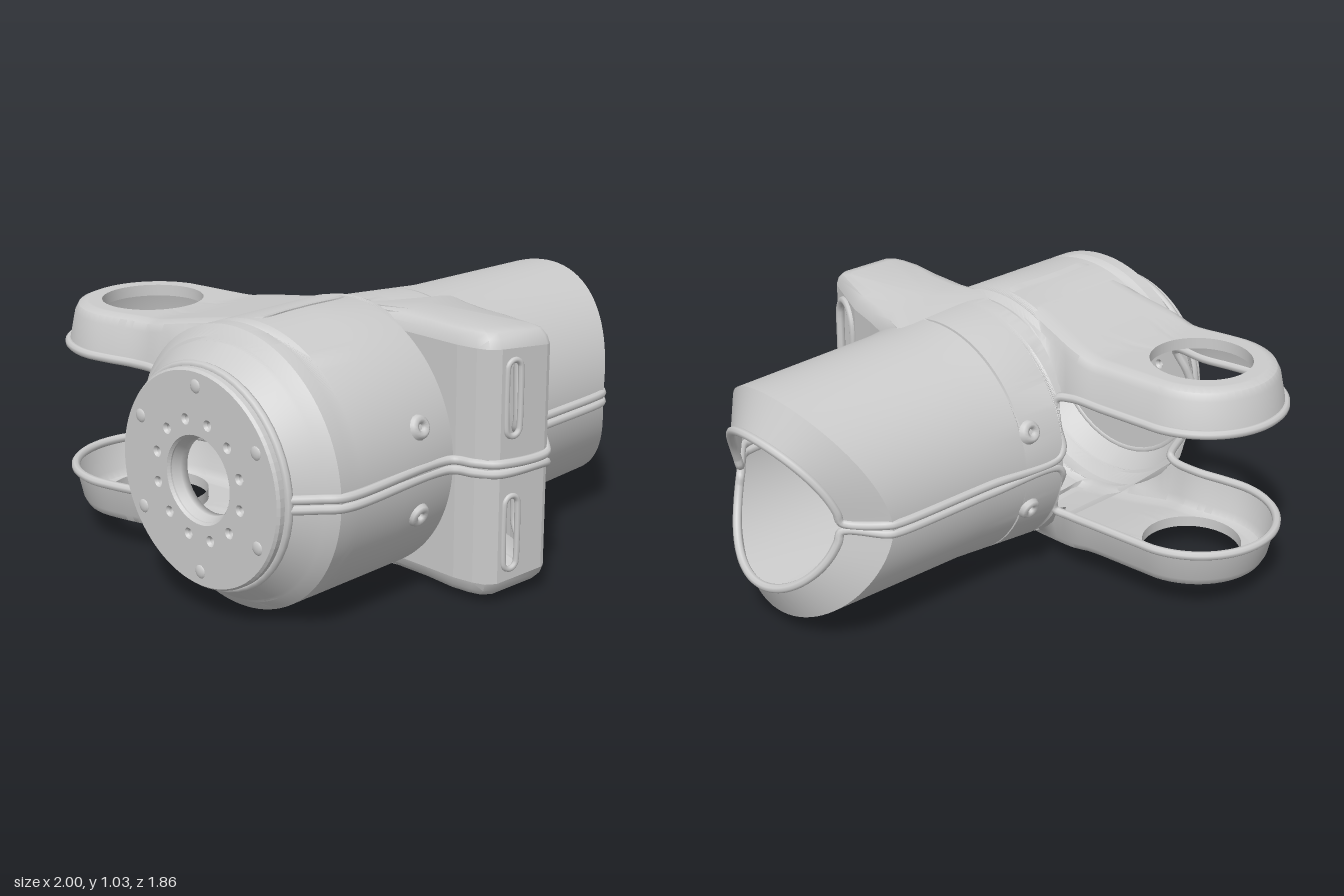
import * as THREE from 'three';
import { toCreasedNormals } from 'three/addons/utils/BufferGeometryUtils.js';

const AXIS_Y = 0.515, AXIS_Z = 0.2;
const material = new THREE.MeshStandardMaterial({ color: 0xcccccc, side: THREE.DoubleSide });
const { lerp } = THREE.MathUtils;
const V = (x, y, z) => new THREE.Vector3(x, y, z);

function add(parent, name, geometry) {
  const mesh = new THREE.Mesh(geometry, material);
  mesh.name = name;
  parent.add(mesh);
  return mesh;
}

// Skin over rows of points, all rows equally long
function loft(rows, { closed = false, flip = false, crease = 0.5 } = {}) {
  const n = rows[0].length, pos = [], idx = [];
  rows.forEach(row => row.forEach(p => pos.push(p.x, p.y, p.z)));
  for (let i = 0; i < rows.length - 1; i++) {
    for (let j = 0; j < (closed ? n : n - 1); j++) {
      const k = (j + 1) % n, a = i * n + j, b = a + n, c = (i + 1) * n + k, d = i * n + k;
      if (flip) idx.push(a, b, c, a, c, d);
      else idx.push(a, d, c, a, c, b);
    }
  }
  const g = new THREE.BufferGeometry();
  g.setAttribute('position', new THREE.Float32BufferAttribute(pos, 3));
  g.setIndex(idx);
  return toCreasedNormals(g, crease);
}

function bead(parent, name, points, closed = false, radius = 0.017) {
  const curve = new THREE.CatmullRomCurve3(points, closed, 'centripetal');
  return add(parent, name, new THREE.TubeGeometry(curve, points.length * 7, radius, 8, closed));
}

// Height of a round barrel above the axis at depth z
const barrelY = (z, r) => Math.sqrt(Math.max(0, r * r - (z - AXIS_Z) ** 2));

// Moves a plan point towards a centre point by d
function inset(p, cx, cz, d) {
  const len = Math.hypot(cx - p.x, cz - p.z), k = len ? Math.min(1, d / len) : 0;
  return V(lerp(p.x, cx, k), p.y, lerp(p.z, cz, k));
}

// x at the sides, x at the top, radius, rear cut-out angle, front cut-out angle
const stations = [
  [-0.95, -0.95, 0.39, 0, 0], [-0.87, -0.87, 0.46, 0, 0], [-0.86, -0.86, 0.472, 20, 0],
  [-0.82, -0.82, 0.51, 29, 0], [-0.77, -0.77, 0.51, 30, 0], [-0.72, -0.72, 0.51, 64, 0],
  [-0.5, -0.5, 0.51, 64, 0], [-0.26, -0.26, 0.51, 64, 0], [-0.225, -0.225, 0.505, 45, 0],
  [-0.19, -0.19, 0.487, 32, 0], [-0.18, -0.18, 0.488, 31, 58], [-0.12, -0.12, 0.487, 28, 58],
  [-0.1, -0.1, 0.485, 10, 58], [-0.095, -0.095, 0.485, 0, 58], [0.08, 0.08, 0.47, 0, 58],
  [0.09, 0.09, 0.469, 0, 0], [0.25, 0.25, 0.455, 0, 0], [0.71, 0.91, 0.443, 0, 0],
  [0.83, 0.985, 0.3, 0, 0]];

function shellPoint([xs, xt, r], phi) {
  const s = Math.max(0, Math.sin(phi));
  return V(lerp(xs, xt, s ** 1.5), r * s, AXIS_Z - r * Math.cos(phi));
}

function barrel(parent) {
  const rows = stations.map(st => Array.from({ length: 49 }, (_, j) => {
    const a = st[3] * Math.PI / 180, b = Math.PI - st[4] * Math.PI / 180;
    return shellPoint(st, lerp(a, b, j / 48));
  }));
  add(parent, 'barrelShell', loft(rows));
}

// Plan outline of the rear lug, from its left root round the tip to its right root
const LUG = { x: -0.495, z: -0.6 };
const lugSide = [[-0.78, -0.25], [-0.775, -0.38], [-0.8, -0.5]].map(([x, z]) => V(x, 0.25, z));
const lugArc = Array.from({ length: 13 }, (_, i) => {
  const a = Math.PI * i / 12;
  return V(LUG.x - 0.32 * Math.cos(a), 0.25, LUG.z - 0.32 * Math.sin(a));
});
const lugBack = [[-0.155, -0.42], [-0.14, -0.28]].map(([x, z]) => V(x, 0.25, z));

function lug(parent) {
  const roots = [[-0.17, -0.1], [-0.2, 0.05], [-0.21, 0.2], [-0.4, 0.2], [-0.6, 0.2], [-0.75, 0.2],
    [-0.76, 0.05], [-0.765, -0.1]].map(([x, z]) => V(x, 0.25, z));
  const outline = new THREE.CatmullRomCurve3([...lugSide, ...lugArc, ...lugBack, ...roots], true, 'centripetal')
    .getSpacedPoints(96).slice(0, 96);
  const topY = z => 0.408 + 0.107 * Math.max(0, Math.min(1, (z + 0.35) / 0.55));
  const rimY = z => z < -0.2 ? 0.25 : Math.max(0.25, barrelY(z, 0.51) - 0.02);
  const ring = (d, fy) => outline.map(p => {
    const q = inset(p, -0.49, Math.min(0.2, Math.max(p.z, LUG.z)), d);
    q.y = fy(q.z);
    return q;
  });
  const rows = [ring(0, rimY), ring(0.025, z => Math.max(topY(z) - 0.04, rimY(z))),
    ring(0.04, z => topY(z) - 0.012), ring(0.07, topY)];
  const edge = rows[3];
  const hole = edge.map(p => {
    const a = Math.atan2(p.z - LUG.z, p.x - LUG.x);
    return V(LUG.x + 0.192 * Math.cos(a), 0.408, LUG.z + 0.192 * Math.sin(a));
  });
  for (let k = 1; k <= 6; k++) {
    rows.push(edge.map((p, j) => {
      const q = p.clone().lerp(hole[j], k / 6);
      q.y = topY(q.z);
      return q;
    }));
  }
  rows.push(hole.map(p => V(p.x, 0.365, p.z))); // turned-down lip of the hole
  add(parent, 'rearLug', loft(rows, { closed: true, flip: true, crease: 0.7 }));
}

// Front boss: plan outline, roof height and slotted walls
const bossPlan = [[-0.25, 0.2], [-0.25, 0.4], [-0.255, 0.58], [-0.26, 0.72], [-0.25, 0.8], [-0.235, 0.845],
  [-0.2, 0.872], [0, 0.908], [0.018, 0.905], [0.03, 0.89], [0.12, 0.67], [0.15, 0.54], [0.19, 0.4], [0.22, 0.25]];
const FRONT_WALL = 6, SLANT_WALL = 9;
const bossTop = x => 0.49 - 0.15 * Math.max(0, x + 0.1);

function slotPoints(s0, s1, y0, y1) {
  const r = (s1 - s0) / 2, c = s0 + r, out = [];
  for (let i = 0; i <= 8; i++) out.push([c + r * Math.cos(Math.PI * i / 8), y1 - r + r * Math.sin(Math.PI * i / 8)]);
  for (let i = 0; i <= 8; i++) out.push([c - r * Math.cos(Math.PI * i / 8), y0 + r - r * Math.sin(Math.PI * i / 8)]);
  return out;
}

function bossWall(parent, i) {
  const [p, q] = [bossPlan[i], bossPlan[i + 1]], L = Math.hypot(q[0] - p[0], q[1] - p[1]);
  const at = (s, y) => V(lerp(p[0], q[0], s / L), y, lerp(p[1], q[1], s / L));
  const high = c => bossTop(c[0]) - 0.06;
  const low = c => Math.min(high(c), Math.max(0, barrelY(c[1], c[0] < 0 ? 0.5 : 0.46) - 0.03));
  const shape = new THREE.Shape([[0, low(p)], [L, low(q)], [L, high(q)], [0, high(p)]].map(a => new THREE.Vector2(...a)));
  let slot = null;
  if (i === FRONT_WALL) slot = slotPoints(0.025, 0.085, 0.11, 0.385);
  if (i === SLANT_WALL) { // lower end runs square into the parting line
    slot = slotPoints(0.03, L - 0.03, 0.02, 0.385).slice(0, 9);
    slot.push([0.03, 0.02], [L - 0.03, 0.02]);
  }
  if (slot) shape.holes.push(new THREE.Path(slot.map(a => new THREE.Vector2(...a))));
  const g = new THREE.ShapeGeometry(shape), pos = g.attributes.position;
  for (let k = 0; k < pos.count; k++) {
    const v = at(pos.getX(k), pos.getY(k));
    pos.setXYZ(k, v.x, v.y, v.z);
  }
  g.computeVertexNormals();
  add(parent, 'bossWall', g);
  if (i === FRONT_WALL) bead(parent, 'smallSlotRim', slot.map(a => at(...a)), true, 0.011);
  return slot && slot.map(a => at(...a));
}

function boss(parent) {
  const plan = bossPlan.map(([x, z]) => V(x, 0, z));
  const ring = (d, drop) => plan.map(p => {
    const q = inset(p, -0.05, 0.5, p.z < 0.3 ? 0 : d);
    q.y = bossTop(q.x) - drop;
    return q;
  });
  const rows = [ring(0, 0.06), ring(0.012, 0.03), ring(0.035, 0.008), ring(0.08, 0)];
  rows.push(plan.map(() => V(-0.05, bossTop(-0.05), 0.4)));
  add(parent, 'bossRoof', loft(rows, { closed: true, crease: 0.7 }));
  let slantSlot;
  for (let i = 0; i < bossPlan.length - 1; i++) {
    const slot = bossWall(parent, i);
    if (i === SLANT_WALL) slantSlot = slot;
  }
  return slantSlot.slice(0, 9);
}

// One rolled edge follows the parting line, lug, mouth and boss slot
function rolledEdge(parent, slotArc) {
  const y = 0.018, mouth = stations[stations.length - 1], path = [];
  path.push(V(-0.95, y, -0.18), V(-0.89, y, -0.24), V(-0.865, 0.04, -0.265), V(-0.83, 0.14, -0.25), V(-0.79, 0.235, -0.22));
  path.push(...lugSide, ...lugArc, ...lugBack);
  path.push(V(-0.12, 0.235, -0.22), V(-0.105, 0.14, -0.24), V(-0.1, 0.05, -0.275), V(-0.07, y, -0.275));
  path.push(V(0.25, y, -0.255), V(0.68, y, -0.243), V(0.72, y, -0.23));
  for (let i = 0; i <= 16; i++) {
    const p = shellPoint(mouth, Math.PI * i / 16);
    p.y = Math.max(p.y, y);
    path.push(p);
  }
  path.push(V(0.72, y, 0.63), V(0.68, y, 0.643), V(0.25, y, 0.658), V(0.14, y, 0.675), V(0.115, 0.035, 0.69), V(0.107, 0.07, 0.702));
  path.push(...slotArc, V(0.043, 0.07, 0.865), V(0.036, 0.035, 0.885), V(0.01, y, 0.908));
  path.push(V(-0.2, y, 0.872), V(-0.25, y, 0.8), V(-0.28, y, 0.72), V(-0.8, y, 0.712), V(-0.87, y, 0.66), V(-0.95, y, 0.59));
  bead(parent, 'rolledEdge', path);
}

// Countersunk screw seats beside the parting line
function screwSeats(parent) {
  const profile = [[0.012, -0.01], [0.014, 0.012], [0.028, 0.02], [0.04, 0.012], [0.05, -0.012]].map(a => new THREE.Vector2(...a));
  for (const [x, r, side] of [[-0.41, 0.51, 1], [0.225, 0.458, 1], [0.045, 0.474, -1]]) {
    const z = side * Math.sqrt(r * r - 0.16 * 0.16);
    const seat = add(parent, 'screwSeat', new THREE.LatheGeometry(profile, 16));
    seat.position.set(x, 0.16, AXIS_Z + z);
    seat.quaternion.setFromUnitVectors(V(0, 1, 0), V(0, 0.16, z).normalize());
  }
}

// End plate with a central bore and a ring of bolt holes
function endPlate(parent) {
  const plate = new THREE.Group();
  plate.name = 'endPlate';
  plate.position.set(-0.95, AXIS_Y, AXIS_Z);
  plate.rotation.y = -Math.PI / 2;
  parent.add(plate);
  const disc = new THREE.Shape().absarc(0, 0, 0.385, 0, Math.PI * 2);
  const cut = (x, y, r) => disc.holes.push(new THREE.Path().absarc(x, y, r, 0, Math.PI * 2, true));
  cut(0, 0, 0.16);
  for (let i = 0; i < 12; i++) {
    const a = (i + 0.5) * Math.PI / 6;
    cut(0.215 * Math.cos(a), 0.215 * Math.sin(a), 0.02);
  }
  add(plate, 'plateDisc', new THREE.ExtrudeGeometry(disc, { depth: 0.035, bevelThickness: 0.01, bevelSize: 0.008, bevelSegments: 1, curveSegments: 40 }));
  const bore = [[0.155, -0.01], [0.138, -0.03], [0.138, 0], [0.16, 0.045]].map(a => new THREE.Vector2(...a));
  add(plate, 'plateBore', new THREE.LatheGeometry(bore, 40)).rotation.x = Math.PI / 2;
  add(plate, 'plateRim', new THREE.TorusGeometry(0.395, 0.016, 8, 48));
  for (let i = 0; i < 6; i++) {
    const a = (i + 0.5) * Math.PI / 3;
    const bolt = add(plate, 'plateBolt', new THREE.SphereGeometry(0.026, 12, 8));
    bolt.scale.z = 0.4;
    bolt.position.set(0.335 * Math.cos(a), 0.335 * Math.sin(a), 0.042);
  }
}

export function createModel() {
  const model = new THREE.Group();
  model.name = 'jointHousing';
  const upper = new THREE.Group();
  upper.name = 'upperHalf';
  upper.position.y = AXIS_Y;
  barrel(upper);
  lug(upper);
  rolledEdge(upper, boss(upper));
  screwSeats(upper);
  const lower = upper.clone();
  lower.name = 'lowerHalf';
  lower.scale.y = -1;
  model.add(upper, lower);
  endPlate(model);
  return model;
}
